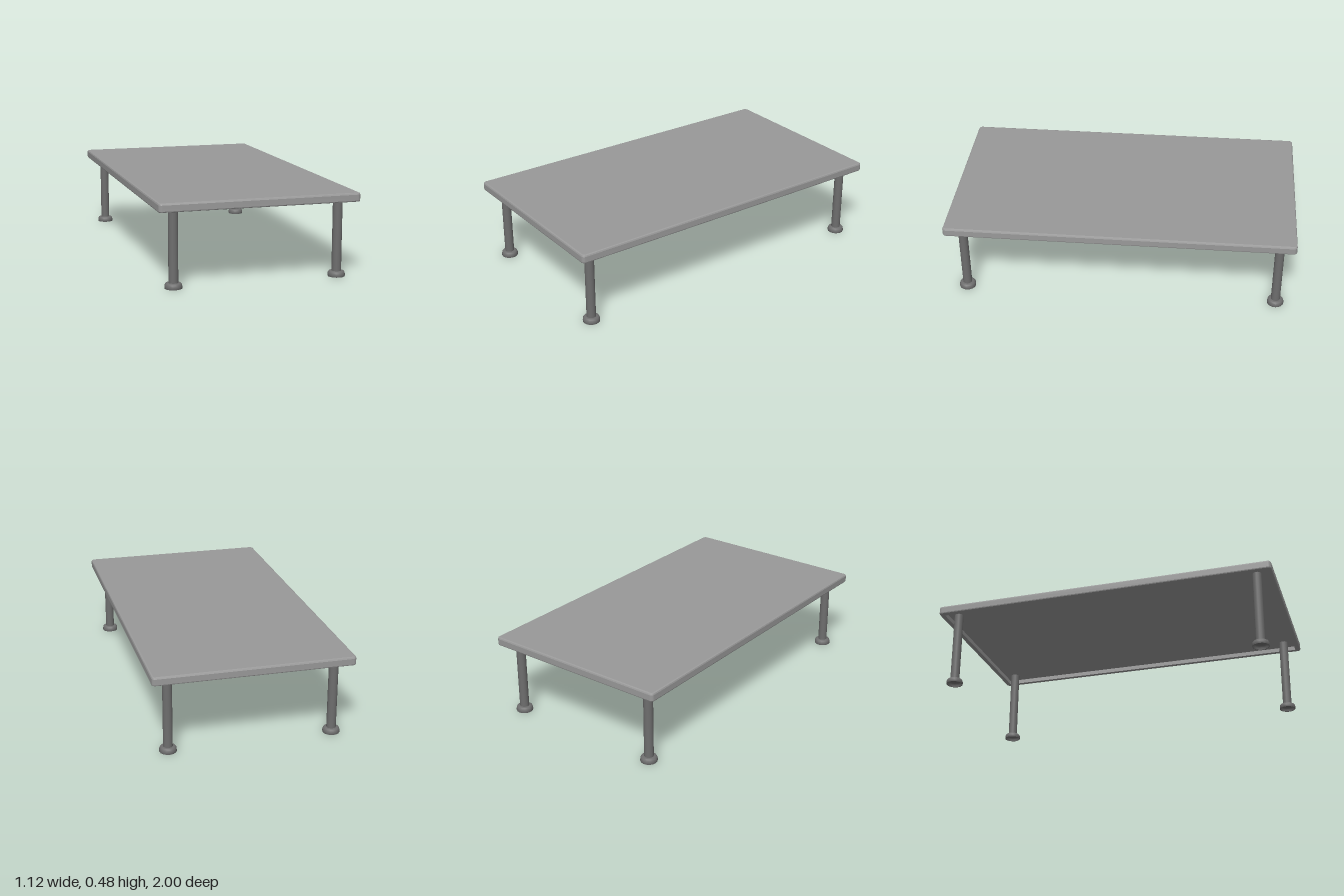
import * as THREE from 'three';
import { toCreasedNormals } from 'three/addons/utils/BufferGeometryUtils.js';

const HALF_X = 0.561, HALF_Z = 1, CORNER = 0.02, STEPS = 6;

// Rounded rectangle at height y, shrunk by inset; an infinite inset gives the centre point
function ring(inset, y) {
  const points = [];
  const r = Math.max(CORNER - inset, 0.005);
  const hx = HALF_X - inset - r, hz = HALF_Z - inset - r;
  [[1, 1], [-1, 1], [-1, -1], [1, -1]].forEach(([sx, sz], q) => {
    for (let k = 0; k <= STEPS; k++) {
      const a = (q + k / STEPS) * Math.PI / 2;
      points.push(inset === Infinity
        ? [0, y, 0]
        : [sx * hx + r * Math.cos(a), y, sz * hz + r * Math.sin(a)]);
    }
  });
  return points;
}

// Joins consecutive rings with quads, leaving out the collapsed halves at the centre
function loft(profile) {
  const rings = profile.map(([inset, y]) => ring(inset, y));
  const pos = [];
  for (let i = 0; i < rings.length - 1; i++) {
    const n = rings[i].length;
    for (let j = 0; j < n; j++) {
      const k = (j + 1) % n;
      const a = rings[i][j], b = rings[i][k], c = rings[i + 1][j], d = rings[i + 1][k];
      if (profile[i][0] !== Infinity) pos.push(...a, ...b, ...c);
      if (profile[i + 1][0] !== Infinity) pos.push(...b, ...d, ...c);
    }
  }
  const geometry = new THREE.BufferGeometry();
  geometry.setAttribute('position', new THREE.Float32BufferAttribute(pos, 3));
  return toCreasedNormals(geometry, 0.3);
}

function turned(points, sides) {
  const profile = points.map(([r, y]) => new THREE.Vector2(r, y));
  return toCreasedNormals(new THREE.LatheGeometry(profile, sides), 0.7);
}

export function createModel() {
  const model = new THREE.Group();
  model.name = 'lowTable';
  const topMaterial = new THREE.MeshStandardMaterial({ color: 0x999999 });
  const legMaterial = new THREE.MeshStandardMaterial({ color: 0x6e6e6e });

  // Tabletop: softened edges and a shallow recess underneath, inside a narrow rim
  const top = new THREE.Mesh(loft([
    [Infinity, 0.476], [0.01, 0.476], [0.003, 0.473], [0, 0.466],
    [0, 0.434], [0.002, 0.429], [0.006, 0.427],
    [0.03, 0.427], [0.03, 0.452], [Infinity, 0.452],
  ]), topMaterial);
  top.name = 'tabletop';
  model.add(top);

  // Four round legs, each standing on a wider hollow foot with a rounded shoulder
  const legGeometry = new THREE.CylinderGeometry(0.0265, 0.0265, 0.426, 16);
  const footGeometry = turned([
    [0, 0.026], [0.03, 0.026], [0.038, 0.02], [0.043, 0.01], [0.044, 0],
    [0.047, 0], [0.048, 0.003], [0.048, 0.012],
    [0.046, 0.022], [0.042, 0.028], [0.036, 0.031], [0, 0.031],
  ], 16);
  for (const [side, x] of [['Left', 0.464], ['Right', -0.462]]) {
    for (const [end, z] of [['front', 0.905], ['back', -0.911]]) {
      const leg = new THREE.Group();
      leg.name = `${end}${side}Leg`;
      const post = new THREE.Mesh(legGeometry, legMaterial);
      post.name = 'post';
      post.position.y = 0.242;
      const foot = new THREE.Mesh(footGeometry, legMaterial);
      foot.name = 'foot';
      leg.add(post, foot);
      leg.position.set(x, 0, z);
      model.add(leg);
    }
  }
  return model;
}
